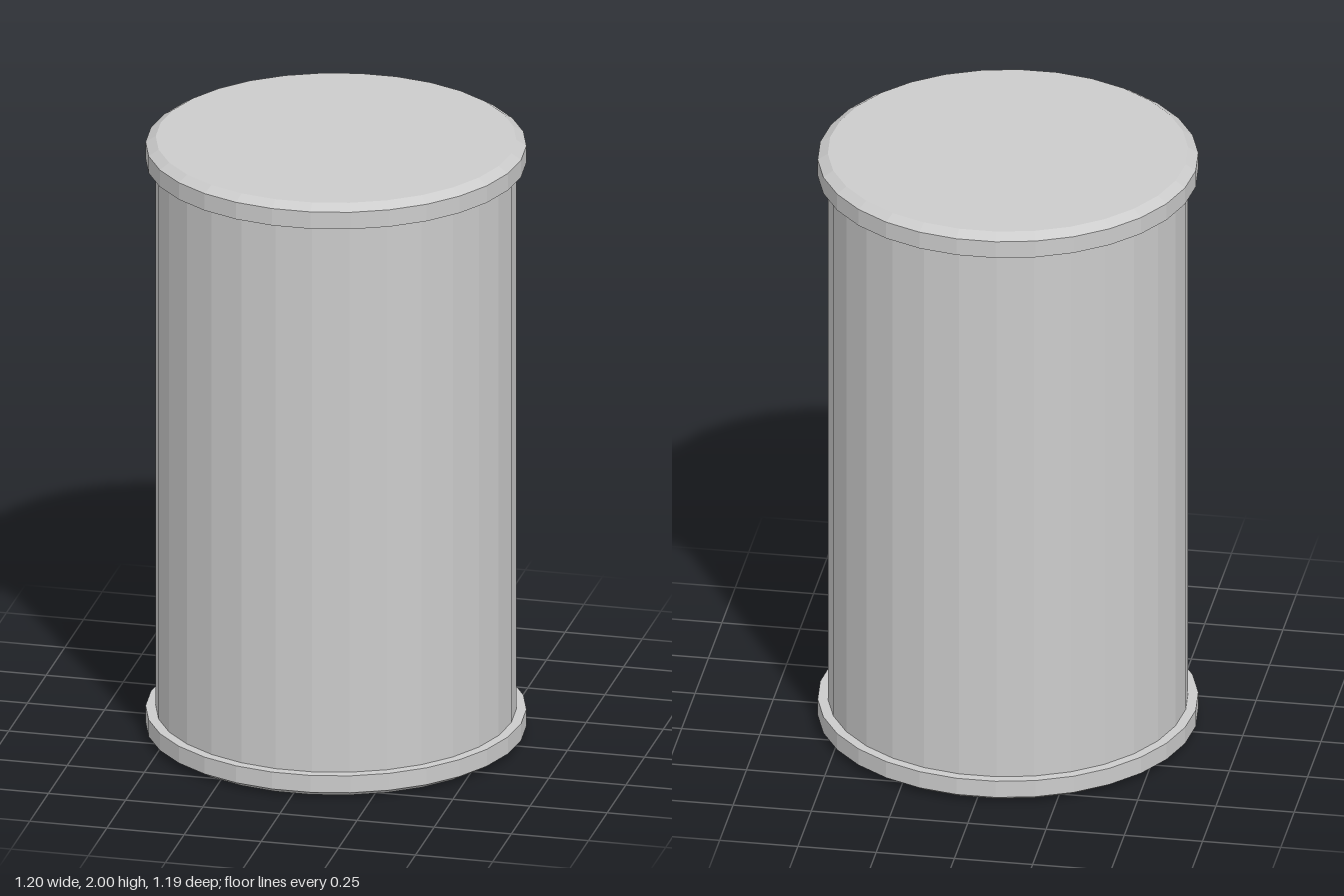
import * as THREE from 'three';

const SIDES = 30;
const BODY_R = 0.568;
const RIM_R = 0.6;
const RIM_H = 0.077;
const BEVEL_H = 0.02;

// Faceted solid of revolution with a corner on the x axis; profile runs from bottom to top
function turned(name, profile, material) {
  const points = profile.map(([r, y]) => new THREE.Vector2(r, y));
  const mesh = new THREE.Mesh(new THREE.LatheGeometry(points, SIDES, Math.PI / 2), material);
  mesh.name = name;
  return mesh;
}

export function createModel() {
  const group = new THREE.Group();
  group.name = 'canister';
  const material = new THREE.MeshStandardMaterial({ color: 0xcccccc, flatShading: true });

  // Straight wall between the two end caps
  group.add(turned('body', [[BODY_R, RIM_H], [BODY_R, 2 - RIM_H]], material));

  // Bottom cap: flat disc, bevelled edge, rim and ledge
  const cap = [[0, 0], [BODY_R, 0], [RIM_R, BEVEL_H], [RIM_R, RIM_H], [BODY_R, RIM_H]];
  group.add(turned('bottomCap', cap, material));

  // Top cap mirrors the bottom one
  const mirrored = cap.map(([r, y]) => [r, 2 - y]).reverse();
  group.add(turned('topCap', mirrored, material));

  return group;
}
